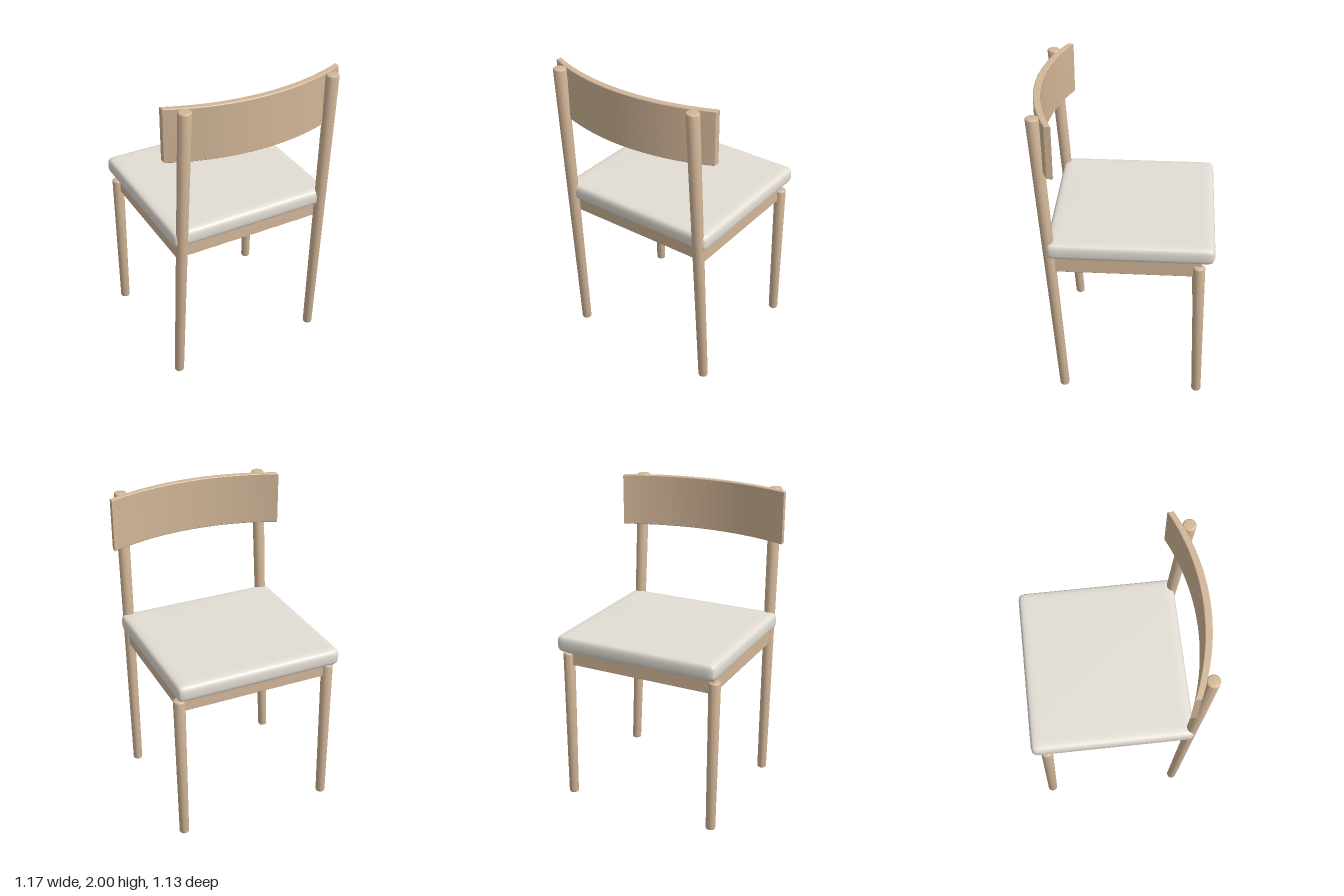
import * as THREE from 'three';
import { mergeVertices, toCreasedNormals } from 'three/addons/utils/BufferGeometryUtils.js';

const wood = new THREE.MeshStandardMaterial({ name: 'wood', color: 0xd2b698 });
const fabric = new THREE.MeshStandardMaterial({ name: 'fabric', color: 0xe2ddd4 });

function addMesh(parent, name, geometry, material) {
  const mesh = new THREE.Mesh(geometry, material);
  mesh.name = name;
  parent.add(mesh);
  return mesh;
}

// Round tapered leg with rounded ends, leaning from bottom [x, z] to top [x, z]
function legGeometry(bottom, top, height, r0, r1) {
  const c = 0.01;
  const steps = 4;
  const profile = [new THREE.Vector2(0, 0)];
  for (let i = 0; i <= steps; i++) {
    const a = (i / steps) * Math.PI / 2;
    profile.push(new THREE.Vector2(r0 - c + c * Math.sin(a), c - c * Math.cos(a)));
  }
  for (let i = 0; i <= steps; i++) {
    const a = (i / steps) * Math.PI / 2;
    profile.push(new THREE.Vector2(r1 - c + c * Math.cos(a), height - c + c * Math.sin(a)));
  }
  profile.push(new THREE.Vector2(0, height));
  const geo = new THREE.LatheGeometry(profile, 32);
  const p = geo.attributes.position;
  for (let i = 0; i < p.count; i++) {
    const t = p.getY(i) / height;
    p.setX(i, p.getX(i) + THREE.MathUtils.lerp(bottom[0], top[0], t));
    p.setZ(i, p.getZ(i) + THREE.MathUtils.lerp(bottom[1], top[1], t));
  }
  return toCreasedNormals(geo, 0.5);
}

// Extrudes an x/z outline downwards from a given top height, with softened edges
function slab(shape, topY, height) {
  const edge = 0.004;
  const geo = new THREE.ExtrudeGeometry(shape, {
    depth: height - 2 * edge, bevelEnabled: true, bevelThickness: edge,
    bevelSize: edge, bevelOffset: -edge, bevelSegments: 1,
  });
  geo.rotateX(Math.PI / 2).translate(0, topY - edge, 0);
  return toCreasedNormals(geo, 0.3);
}

function rectangle(PathType, x, z0, z1) {
  return new PathType([[-x, z0], [x, z0], [x, z1], [-x, z1]].map(([a, b]) => new THREE.Vector2(a, b)));
}

// Rounded, slightly crowned cushion, with its grid crowded towards the edges
function cushionGeometry(hx, hy, hz, r, crown) {
  const geo = new THREE.BoxGeometry(2, 2, 2, 24, 10, 24);
  geo.deleteAttribute('uv');
  geo.deleteAttribute('normal');
  const p = geo.attributes.position;
  const half = new THREE.Vector3(hx, hy, hz);
  const limit = half.clone().subScalar(r);
  const v = new THREE.Vector3();
  const core = new THREE.Vector3();
  const ease = (t) => Math.sin(t * Math.PI / 2);
  for (let i = 0; i < p.count; i++) {
    v.fromBufferAttribute(p, i);
    v.set(ease(v.x), ease(v.y), ease(v.z)).multiply(half);
    core.copy(v).clamp(limit.clone().negate(), limit);
    v.sub(core).setLength(r).add(core);
    const dome = (1 - (v.x / hx) ** 2) * (1 - (v.z / hz) ** 2);
    v.y += (v.y / hy) * crown * dome;
    p.setXYZ(i, v.x, v.y, v.z);
  }
  const merged = mergeVertices(geo, 1e-5);
  merged.computeVertexNormals();
  return merged;
}

// Curved backrest outline between two arcs
function backrestShape() {
  const halfWidth = 0.585;
  const arcZ = (x, middle, radius) => middle - radius + Math.sqrt(radius * radius - x * x);
  const points = [];
  const n = 36;
  for (let i = 0; i <= n; i++) {
    const x = halfWidth * (2 * i / n - 1);
    points.push(new THREE.Vector2(x, arcZ(x, 0.521, 1.43)));
  }
  for (let i = n; i >= 0; i--) {
    const x = halfWidth * (2 * i / n - 1);
    points.push(new THREE.Vector2(x, arcZ(x, 0.565, 1.38)));
  }
  return new THREE.Shape(points);
}

export function createModel() {
  const chair = new THREE.Group();
  chair.name = 'chair';

  // Legs, mirrored left and right
  for (const [side, s] of [['left', 1], ['right', -1]]) {
    addMesh(chair, `${side}BackLeg`,
      legGeometry([s * 0.51, 0.396], [s * 0.487, 0.515], 2, 0.031, 0.041), wood);
    addMesh(chair, `${side}FrontLeg`,
      legGeometry([s * 0.512, -0.492], [s * 0.515, -0.472], 1.02, 0.031, 0.038), wood);
  }

  // Seat frame, open underneath
  const frame = rectangle(THREE.Shape, 0.515, -0.487, 0.422);
  frame.holes.push(rectangle(THREE.Path, 0.465, -0.437, 0.372));
  addMesh(chair, 'seatFrame', slab(frame, 1.054, 0.114), wood);

  // Cushion
  const cushion = addMesh(chair, 'seatCushion', cushionGeometry(0.553, 0.057, 0.521, 0.04, 0.004), fabric);
  cushion.position.set(0, 1.105, -0.046);

  // Backrest
  addMesh(chair, 'backrest', slab(backrestShape(), 2, 0.345), wood);

  return chair;
}
